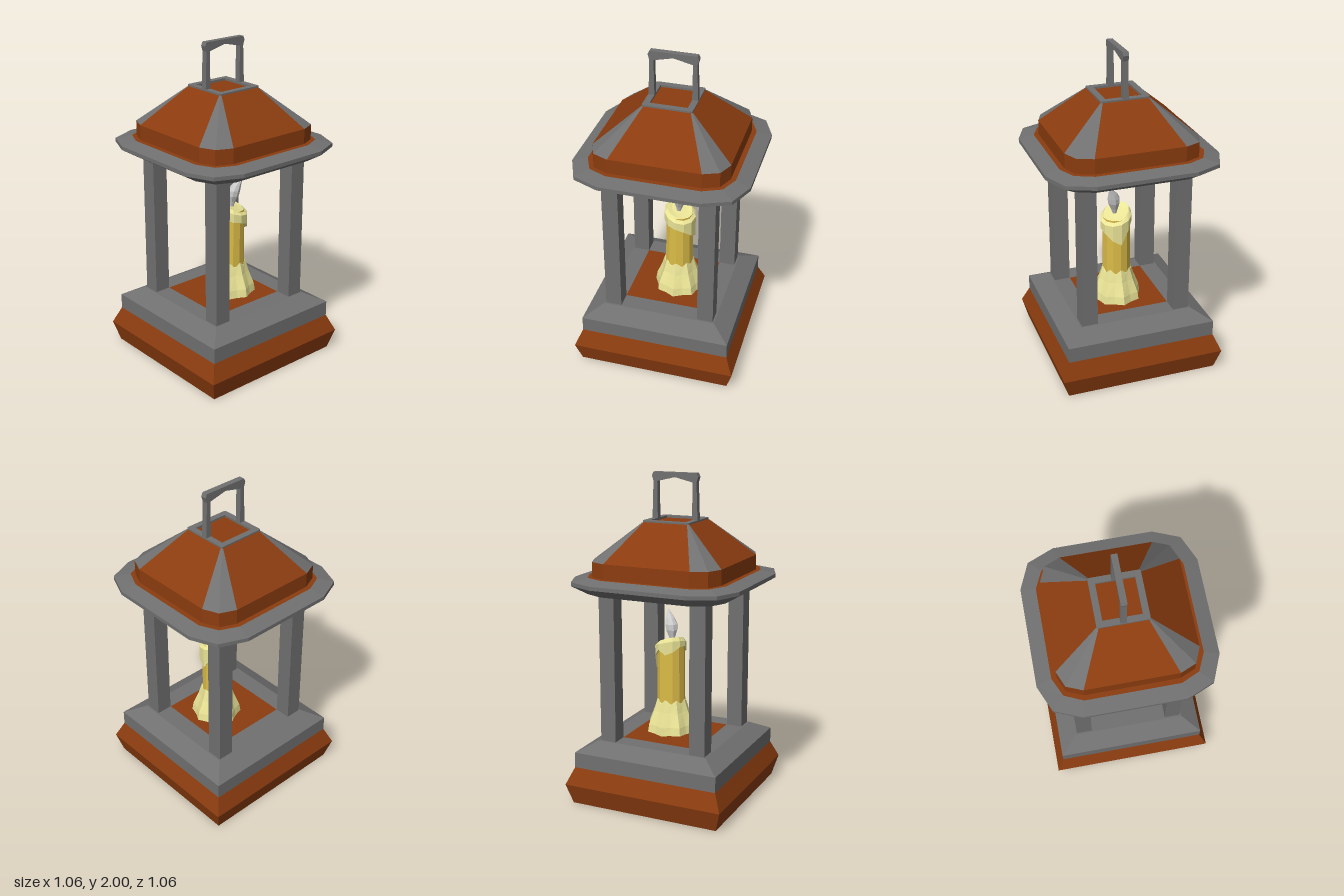
import * as THREE from 'three';

const mat = (color) => new THREE.MeshStandardMaterial({ color, flatShading: true });
const BROWN = mat(0x8b3c0f), IRON = mat(0x707070), WAX = mat(0xdcbc48), DRIP = mat(0xeae496), FLAME = mat(0xcccccc);

// Flat-shaded loft through rings of [x, y, z], counter-clockwise from above, bottom to top
function loft(rings, { bottom = false, top = false, keep = () => true } = {}) {
  const pos = [];
  const tri = (a, b, c) => pos.push(...a, ...b, ...c);
  const n = rings[0].length;
  for (let k = 0; k < rings.length - 1; k++) {
    for (let i = 0; i < n; i++) {
      if (!keep(i)) continue;
      const j = (i + 1) % n, lo = rings[k], hi = rings[k + 1];
      tri(lo[i], lo[j], hi[j]);
      tri(lo[i], hi[j], hi[i]);
    }
  }
  const first = rings[0], last = rings[rings.length - 1];
  for (let i = 1; i < n - 1; i++) {
    if (bottom) tri(first[0], first[i + 1], first[i]);
    if (top) tri(last[0], last[i], last[i + 1]);
  }
  const g = new THREE.BufferGeometry();
  g.setAttribute('position', new THREE.Float32BufferAttribute(pos, 3));
  g.computeVertexNormals();
  return g;
}

// Repeat the points of one corner around the four corners
function fourfold(y, corner) {
  const ring = [];
  for (let q = 0; q < 4; q++) {
    ring.push(...corner.map(([x, z]) => [x, y, z]));
    corner = corner.map(([x, z]) => [z, -x]);
  }
  return ring;
}
const square = (y, h) => fourfold(y, [[h, -h]]);
// Square with each corner cut by two facets: half width h, corner point c, flat half length a
const cut = (y, h, c, a) => fourfold(y, [[h, -a], [c, -c], [a, -h]]);

// Round ring around (cx, cz), radius and height may vary by index
function round(n, cx, cz, r, y) {
  return Array.from({ length: n }, (_, i) => {
    const t = (i / n) * Math.PI * 2;
    const rr = typeof r === 'function' ? r(i, t) : r;
    return [cx + rr * Math.cos(t), typeof y === 'function' ? y(i, t) : y, cz - rr * Math.sin(t)];
  });
}

export function createModel() {
  const model = new THREE.Group();
  model.name = 'lantern';
  const add = (name, geometry, material, parent = model) => {
    const mesh = new THREE.Mesh(geometry, material);
    mesh.name = name;
    parent.add(mesh);
    return mesh;
  };

  // Base: wooden plinth, iron frame, wooden floor
  add('plinth', loft([square(0, 0.475), square(0.125, 0.51), square(0.23, 0.465)], { bottom: true }), BROWN);
  add('baseFrame', loft([square(0.23, 0.465), square(0.325, 0.465), square(0.385, 0.355), square(0.385, 0.244)]), IRON);
  add('floor', loft([square(0.38, 0.244), square(0.385, 0.244)], { top: true }), BROWN);

  // Corner posts
  for (const sx of [-1, 1]) {
    for (const sz of [-1, 1]) {
      const post = add('post', new THREE.BoxGeometry(0.1, 0.925, 0.1), IRON);
      post.position.set(sx * 0.295, 0.845, sz * 0.295);
    }
  }

  // Eaves with wooden ceiling and ledge
  const under = cut(1.305, 0.44, 0.39, 0.28), ledge = cut(1.403, 0.44, 0.39, 0.28);
  add('ceiling', loft([under], { bottom: true }), BROWN);
  add('eaves', loft([under, cut(1.36, 0.53, 0.462, 0.3), cut(1.383, 0.53, 0.462, 0.3), ledge]), IRON);

  // Roof: low wall, then slopes with iron hips
  const wallTop = cut(1.495, 0.41, 0.37, 0.275), peak = cut(1.715, 0.15, 0.147, 0.14);
  add('roofWall', loft([ledge, cut(1.403, 0.41, 0.37, 0.275), wallTop]), BROWN);
  add('roofSlopes', loft([wallTop, peak], { keep: (i) => i % 3 === 2 }), BROWN);
  add('roofHips', loft([wallTop, peak], { keep: (i) => i % 3 !== 2 }), IRON);
  add('topFrame', loft([peak, cut(1.725, 0.15, 0.147, 0.14), cut(1.725, 0.112, 0.112, 0.112),
    cut(1.712, 0.112, 0.112, 0.112)]), IRON);
  add('topPanel', loft([square(1.712, 0.112)], { top: true }), BROWN);

  // Carrying handle, an arch profile given a small thickness
  const half = [[0.112, 1.715], [0.148, 1.715], [0.14, 1.945], [0.15, 1.978], [0.14, 2]];
  const outline = [[0, 1.972], [0.115, 1.945], ...half,
    ...half.slice().reverse().map(([z, y]) => [-z, y]), [-0.115, 1.945]];
  const arch = new THREE.ExtrudeGeometry(new THREE.Shape(outline.map((p) => new THREE.Vector2(...p))),
    { depth: 0.036, bevelEnabled: false });
  arch.translate(0, 0, -0.018).rotateY(Math.PI / 2);
  add('handle', arch, IRON);

  // Candle, slightly off centre
  const candle = new THREE.Group();
  candle.name = 'candle';
  model.add(candle);
  const cx = 0.022, cz = -0.043;
  add('candleBody', loft([round(12, cx, cz, 0.089, 0.385), round(12, cx, cz, 0.085, 0.94)]), WAX, candle);

  // Fluted pool of wax around the foot
  const flute = (r, d) => (i) => r + (i % 2 ? -d : d);
  add('waxSkirt', loft([
    round(16, cx, cz, flute(0.147, 0.009), 0.385),
    round(16, cx, cz, flute(0.139, 0.009), 0.435),
    round(16, cx, cz, flute(0.108, 0.006), 0.52),
    round(16, cx, cz, 0.09, (i) => (i % 2 ? 0.57 : 0.6)),
    round(16, cx, cz, 0.08, 0.58),
  ]), DRIP, candle);

  // Leaning melted cap with an uneven dripping edge
  const edge = [0.87, 0.85, 0.81, 0.78, 0.87, 0.92, 0.89, 0.91, 0.94, 0.94, 0.9, 0.88];
  const lean = (t) => Math.cos(t - Math.PI / 4);
  const rim = (y, d) => (i, t) => y - d * lean(t);
  add('meltedCap', loft([
    round(12, cx, cz, 0.082, (i) => edge[i] + 0.01),
    round(12, cx, cz, (i, t) => 0.098 + 0.006 * lean(t), (i) => edge[i]),
    round(12, cx, cz, (i, t) => 0.098 + 0.007 * lean(t), rim(0.945, 0.035)),
    round(12, cx, cz, 0.078, rim(0.968, 0.035)),
    round(12, cx, cz, 0.05, rim(0.962, 0.02)),
  ], { top: true }), DRIP, candle);

  // Flame: rings of [x, y, z, radius] bending towards the tip
  const flame = [[0.032, 0.955, -0.04, 0.012], [0.034, 0.99, -0.043, 0.022], [0.038, 1.03, -0.047, 0.037],
    [0.042, 1.065, -0.052, 0.039], [0.052, 1.1, -0.065, 0.028], [0.066, 1.13, -0.08, 0.013], [0.075, 1.152, -0.09, 0.002]];
  add('flame', loft(flame.map(([x, y, z, r]) => round(8, x, z, r, y)), { bottom: true, top: true }), FLAME, candle);

  return model;
}
